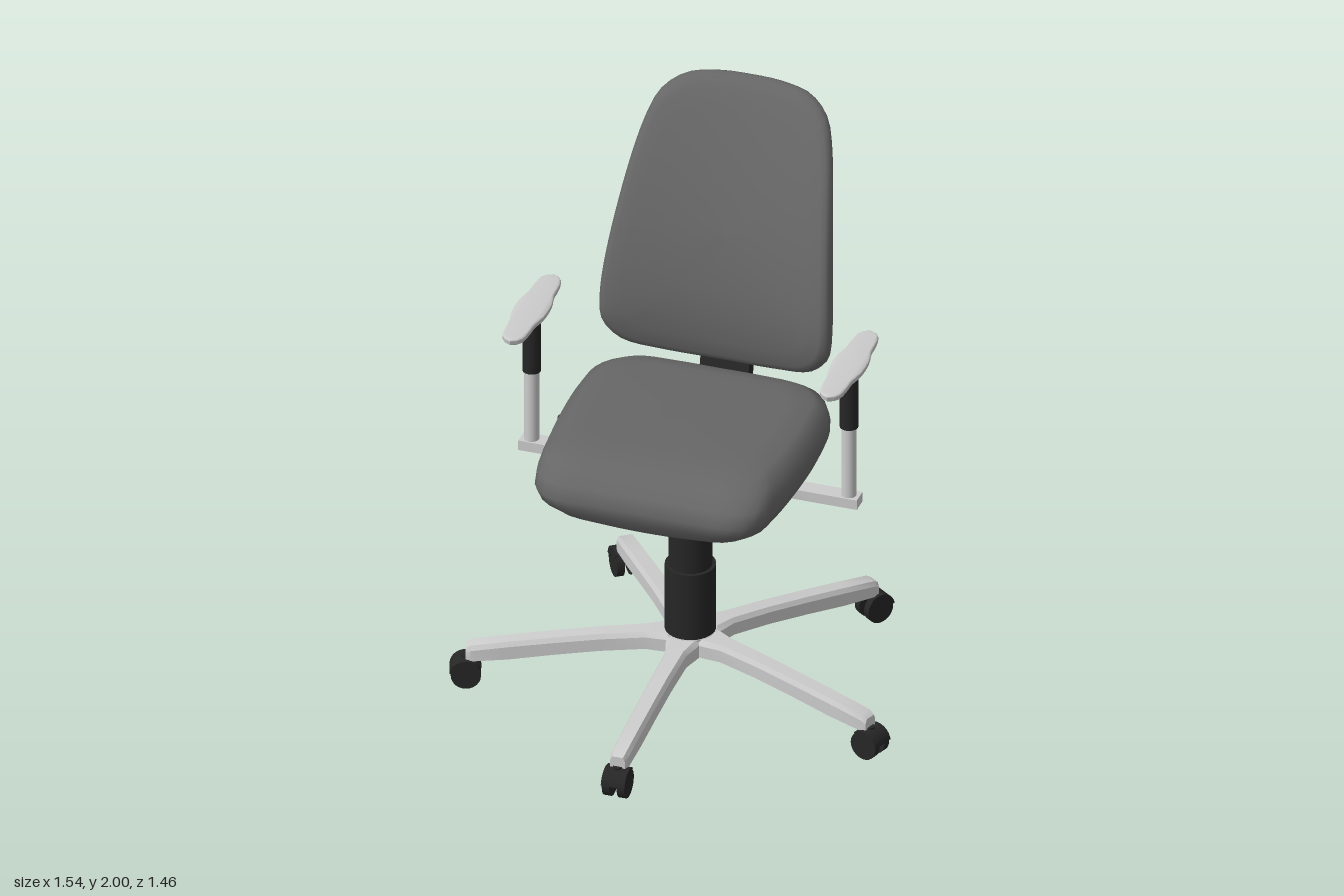
import * as THREE from 'three';
import { toCreasedNormals } from 'three/addons/utils/BufferGeometryUtils.js';

const metal = new THREE.MeshStandardMaterial({ color: 0xcccccc });
const fabric = new THREE.MeshStandardMaterial({ color: 0x666666 });
const black = new THREE.MeshStandardMaterial({ color: 0x262626 });
const CZ = -0.065; // z of the central column

function add(parent, name, geo, mat, x = 0, y = 0, z = 0) {
  const mesh = new THREE.Mesh(geo, mat);
  mesh.name = name;
  mesh.position.set(x, y, z);
  parent.add(mesh);
  return mesh;
}

// Skin closed rings of [x, y, z]; rings run counter-clockwise seen from the last one
function loft(rings) {
  const n = rings[0].length, index = [];
  for (let i = 0; i < rings.length - 1; i++) {
    for (let j = 0; j < n; j++) {
      const a = i * n + j, b = i * n + (j + 1) % n;
      index.push(a, b, b + n, a, b + n, a + n);
    }
  }
  const geo = new THREE.BufferGeometry();
  geo.setAttribute('position', new THREE.Float32BufferAttribute(rings.flat(2), 3));
  geo.setIndex(index);
  geo.computeVertexNormals();
  return geo;
}

// Mirror a half outline (first and last points on x = 0) and smooth it
function outline(half, count) {
  const mirrored = half.slice(1, -1).reverse().map(([x, y]) => [-x, y]);
  const pts = [...half, ...mirrored].map(([x, y]) => new THREE.Vector3(x, y, 0));
  return new THREE.CatmullRomCurve3(pts, true).getSpacedPoints(count).slice(0, count);
}

function cylinder(r, y0, y1) {
  return new THREE.CylinderGeometry(r, r, y1 - y0, 32).translate(0, (y0 + y1) / 2, 0);
}

function extrude(shape, depth, bevel = 0) {
  return new THREE.ExtrudeGeometry(shape, {
    depth, curveSegments: 16, bevelEnabled: bevel > 0,
    bevelSize: bevel, bevelThickness: bevel, bevelSegments: 3,
  });
}

function buildSeat() {
  const seat = new THREE.Group();
  seat.name = 'seat';
  const plan = outline([[0, 1], [0.4, 1], [0.74, 0.99], [0.9, 0.87], [0.96, 0.6], [1, 0.1],
    [1, -0.4], [0.95, -0.75], [0.75, -0.96], [0.4, -1], [0, -1]], 72);
  // Each ring: height, half width, front z, back z, sag in the middle
  const ring = ([y, w, f, b, sag = 0]) => plan.map((p) =>
    [p.x * w, y - sag * (1 - p.x * p.x), (f + b) / 2 + p.y * (f - b) / 2]);
  const rim = [0.875, 0.38, 0.39, -0.36, 0.03];
  add(seat, 'seatCushion', loft([rim, [0.9, 0.415, 0.42, -0.38, 0.01], [0.94, 0.43, 0.435, -0.39],
    [0.985, 0.43, 0.41, -0.395], [1.03, 0.415, 0.36, -0.385], [1.055, 0.375, 0.3, -0.355],
    [1.065, 0.3, 0.2, -0.3], [1.067, 0.001, 0.001, -0.001]].map(ring)), fabric);
  add(seat, 'seatPan', loft([[0.832, 0.001, 0.001, -0.001], [0.832, 0.24, 0.28, -0.28],
    [0.836, 0.3, 0.36, -0.33], rim].map(ring)), black);
  return seat;
}

function buildBackrest() {
  const back = new THREE.Group();
  back.name = 'backrest';
  const face = outline([[0, 1.08], [0.2, 1.088], [0.33, 1.115], [0.39, 1.18], [0.403, 1.28],
    [0.372, 1.6], [0.325, 1.85], [0.29, 1.93], [0.22, 1.98], [0.12, 1.997], [0, 2]], 88);
  // Leans back with height and wraps forward at the sides
  const frontZ = (x, y) => -0.32 + 0.3 * x * x
    - (y > 1.22 ? 0.489 * (y - 1.22) ** 1.64 : 0.1 * (1.22 - y));
  const ring = ([s, depth]) => face.map((p) => {
    const x = p.x * s, y = 1.54 + (p.y - 1.54) * s;
    return [x, y, frontZ(x, y) - depth * (1 - 0.38 * (y - 1.08))];
  });
  add(back, 'backCushion', loft([[0.965, 0.085], [0.99, 0.075], [1, 0.055], [0.99, 0.03], [0.965, 0.014],
    [0.92, 0.004], [0.8, 0], [0.6, 0], [0.4, 0], [0.2, 0], [0.001, 0]].map(ring)), fabric);
  add(back, 'backShell', loft([[0.001, 0.095], [0.2, 0.095], [0.4, 0.095], [0.6, 0.095],
    [0.8, 0.095], [0.92, 0.092], [0.965, 0.085]].map(ring)), black);

  // Upright bar, drawn from the side and extruded across x
  const v = (z, y) => new THREE.Vector2(z, y);
  const side = new THREE.Shape([v(0.355, 0.808), v(0.4, 0.808)]);
  side.splineThru([v(0.445, 0.95), v(0.492, 1.2), v(0.53, 1.52)]);
  side.lineTo(0.47, 1.52);
  side.splineThru([v(0.445, 1.2), v(0.39, 0.95), v(0.355, 0.808)]);
  const bar = extrude(side, 0.17).translate(0, 0, -0.085).rotateY(Math.PI / 2);
  add(back, 'backBar', toCreasedNormals(bar, 0.6), black);
  const roller = new THREE.CylinderGeometry(0.055, 0.055, 0.32, 28).rotateZ(Math.PI / 2);
  add(back, 'backPivot', roller, black, 0, 1.55, -0.475);
  return back;
}

function buildCarrier() {
  const carrier = new THREE.Group();
  carrier.name = 'carrier';
  // Round plate with an arm to each side and a tongue to the back
  const s = new THREE.Shape();
  s.moveTo(0.59, -0.03);
  s.lineTo(0.59, 0.03);
  s.lineTo(0.27, 0.03);
  s.quadraticCurveTo(0.19, 0.05, 0.15, 0.13);
  s.quadraticCurveTo(0.1, 0.17, 0.085, 0.24);
  s.lineTo(0.085, 0.32);
  s.lineTo(-0.085, 0.32);
  s.lineTo(-0.085, 0.24);
  s.quadraticCurveTo(-0.1, 0.17, -0.15, 0.13);
  s.quadraticCurveTo(-0.19, 0.05, -0.27, 0.03);
  s.lineTo(-0.59, 0.03);
  s.lineTo(-0.59, -0.03);
  s.lineTo(-0.27, -0.03);
  s.quadraticCurveTo(-0.19, -0.05, -0.15, -0.13);
  s.quadraticCurveTo(0, -0.26, 0.15, -0.13);
  s.quadraticCurveTo(0.19, -0.05, 0.27, -0.03);
  const plate = extrude(s, 0.036).rotateX(-Math.PI / 2);
  add(carrier, 'carrierPlate', toCreasedNormals(plate, 0.6), metal, 0, 0.806, CZ);

  // Height lever on the right
  const path = new THREE.CatmullRomCurve3([[-0.1, 0.825, -0.15], [-0.3, 0.83, -0.2],
    [-0.42, 0.842, -0.22], [-0.49, 0.84, -0.225]].map((p) => new THREE.Vector3(...p)));
  add(carrier, 'leverRod', new THREE.TubeGeometry(path, 16, 0.008, 8), metal);
  const knob = new THREE.SphereGeometry(0.025, 20, 12).scale(1, 0.4, 1.15);
  add(carrier, 'leverKnob', knob, black, -0.492, 0.84, -0.225);
  return carrier;
}

function buildArmrest(sideSign) {
  const arm = new THREE.Group();
  arm.name = sideSign > 0 ? 'leftArmrest' : 'rightArmrest';
  arm.position.set(sideSign * 0.553, 0, CZ);
  add(arm, 'armPost', cylinder(0.025, 0.83, 1.11), metal);
  add(arm, 'armSleeve', cylinder(0.031, 1.105, 1.315), black);
  add(arm, 'padMount', cylinder(0.042, 1.312, 1.33), metal);
  const pts = outline([[0, -0.217], [0.026, -0.2], [0.036, -0.15], [0.038, -0.1], [0.05, -0.04],
    [0.05, 0.04], [0.038, 0.1], [0.036, 0.15], [0.026, 0.2], [0, 0.217]], 48);
  const pad = extrude(new THREE.Shape(pts.map((p) => new THREE.Vector2(p.x, p.y))), 0.01, 0.006);
  add(arm, 'armPad', toCreasedNormals(pad.rotateX(-Math.PI / 2), 0.8), metal, 0, 1.332, 0);
  return arm;
}

// One leg pointing along +z with its twin-wheel caster
function buildLeg(i) {
  const leg = new THREE.Group();
  leg.name = 'leg' + (i + 1);
  const section = (z, w, b, t) => [[-w, b], [w, b], [w, t - 0.016], [w * 0.72, t],
    [-w * 0.72, t], [-w, t - 0.016]].map(([x, y]) => [x, y, z]);
  const rings = [section(0, 0.07, 0.16, 0.222), section(0.09, 0.055, 0.16, 0.221),
    section(0.15, 0.037, 0.158, 0.218), section(0.3, 0.034, 0.147, 0.207),
    section(0.45, 0.033, 0.13, 0.191), section(0.6, 0.032, 0.11, 0.173),
    section(0.725, 0.031, 0.1, 0.156), section(0.742, 0.026, 0.1, 0.145)];
  rings.push(rings[7].map(() => [0, 0.12, 0.742]));
  add(leg, 'legBeam', toCreasedNormals(loft(rings), 0.5), metal);

  const caster = new THREE.Group();
  caster.name = 'caster';
  caster.position.set(0, 0.05, 0.74);
  for (const s of [-1, 1]) {
    const wheel = new THREE.CylinderGeometry(0.05, 0.05, 0.026, 24).rotateZ(Math.PI / 2);
    add(caster, 'wheel', wheel, black, s * 0.026, 0, 0);
  }
  add(caster, 'axle', new THREE.CylinderGeometry(0.015, 0.015, 0.04, 12).rotateZ(Math.PI / 2), black);
  add(caster, 'casterStem', cylinder(0.016, 0, 0.06), black);
  // Hood over the upper outer part of the wheels
  const hoodShape = new THREE.Shape();
  hoodShape.absarc(0, 0, 0.055, 0.15, Math.PI * 0.72);
  hoodShape.absarc(0, 0, 0.03, Math.PI * 0.72, 0.15, true);
  const hood = extrude(hoodShape, 0.082).translate(0, 0, -0.041).rotateY(-Math.PI / 2);
  add(caster, 'casterHood', toCreasedNormals(hood, 0.6), black);
  leg.add(caster);
  leg.rotation.y = i * Math.PI * 2 / 5;
  return leg;
}

export function createModel() {
  const chair = new THREE.Group();
  chair.name = 'officeChair';
  chair.add(buildSeat(), buildBackrest(), buildCarrier(), buildArmrest(1), buildArmrest(-1));

  // Gas lift and five-legged base
  const base = new THREE.Group();
  base.name = 'base';
  base.position.z = CZ;
  add(base, 'hub', cylinder(0.088, 0.16, 0.222), metal);
  add(base, 'lowerColumn', cylinder(0.085, 0.215, 0.47), black);
  add(base, 'middleColumn', cylinder(0.073, 0.46, 0.68), black);
  add(base, 'piston', cylinder(0.065, 0.67, 0.815), metal);
  for (let i = 0; i < 5; i++) base.add(buildLeg(i));
  chair.add(base);
  return chair;
}
